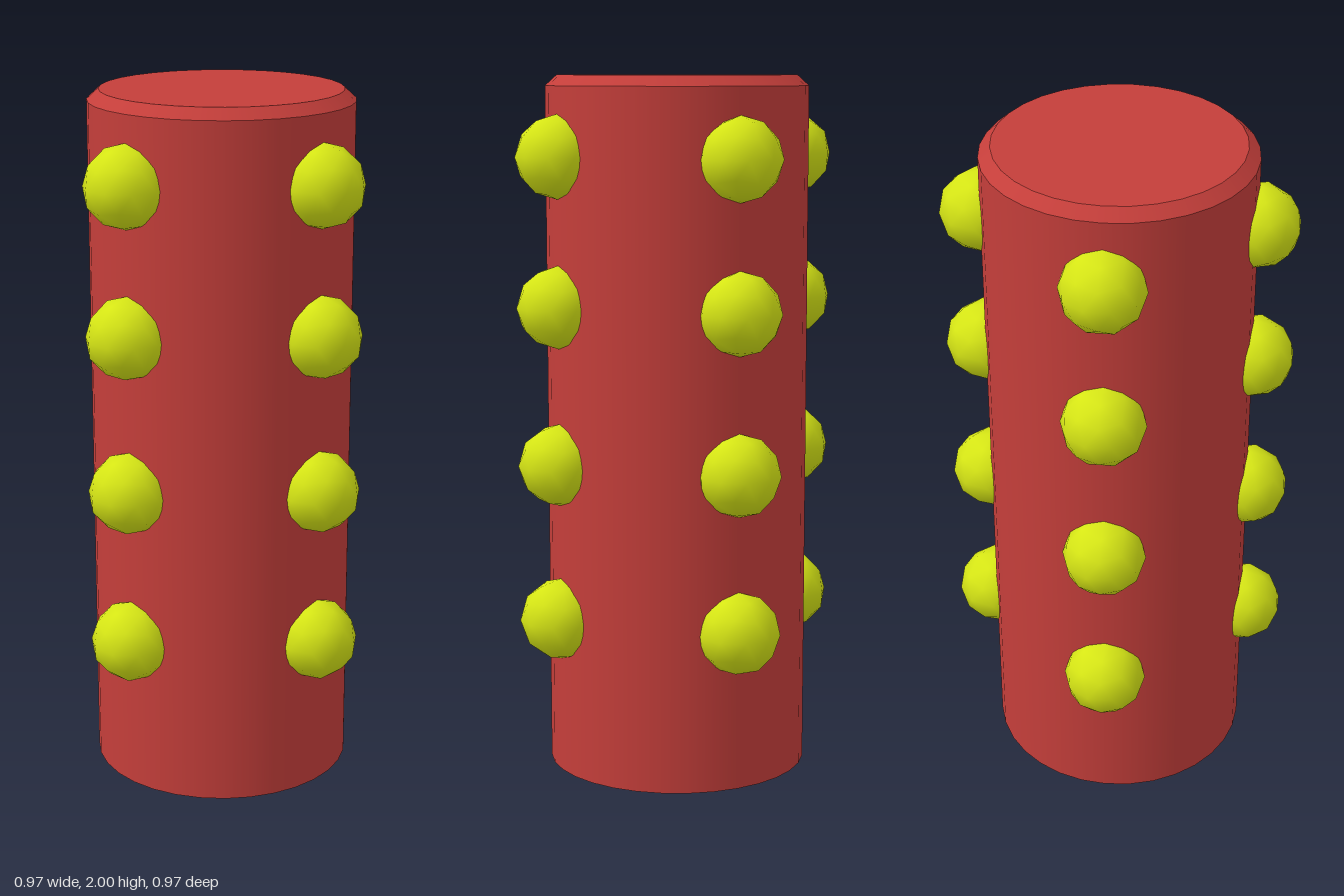
import * as THREE from 'three';

const RADIUS = 0.375, TOP_RADIUS = 0.342, HEIGHT = 2, BEVEL = 0.03, SIDES = 32;
const KNOB_RADIUS = 0.118;
const KNOB_HEIGHTS = [0.455, 0.905, 1.355, 1.775];

export function createModel() {
  const model = new THREE.Group();
  model.name = 'studdedColumn';
  const red = new THREE.MeshStandardMaterial({ color: 0xc43e3a, side: THREE.DoubleSide });
  const yellow = new THREE.MeshStandardMaterial({ color: 0xd6e615 });

  const add = (name, geometry, material, parent = model) => {
    const mesh = new THREE.Mesh(geometry, material);
    mesh.name = name;
    parent.add(mesh);
    return mesh;
  };

  // Hollow column, open at the bottom
  const wallHeight = HEIGHT - BEVEL;
  add('columnWall', new THREE.CylinderGeometry(RADIUS, RADIUS, wallHeight, SIDES, 1, true), red)
    .position.y = wallHeight / 2;

  // Bevelled rim and flat top
  add('topBevel', new THREE.CylinderGeometry(TOP_RADIUS, RADIUS, BEVEL, SIDES, 1, true), red)
    .position.y = HEIGHT - BEVEL / 2;
  add('topCap', new THREE.CircleGeometry(TOP_RADIUS, SIDES).rotateX(-Math.PI / 2), red)
    .position.y = HEIGHT;

  // Low-poly round knob with a vertex straight up, its upper ring pointing along +x
  const knob = new THREE.IcosahedronGeometry(KNOB_RADIUS, 1)
    .rotateZ(Math.atan(2 / (1 + Math.sqrt(5))))
    .rotateY(Math.PI);

  // Four columns of knobs, a quarter turn apart
  for (let i = 0; i < 4; i++) {
    const row = new THREE.Group();
    row.name = 'knobColumn' + (i + 1);
    row.rotation.y = i * Math.PI / 2;
    for (const y of KNOB_HEIGHTS) add('knob', knob, yellow, row).position.set(RADIUS, y, 0);
    model.add(row);
  }
  return model;
}
